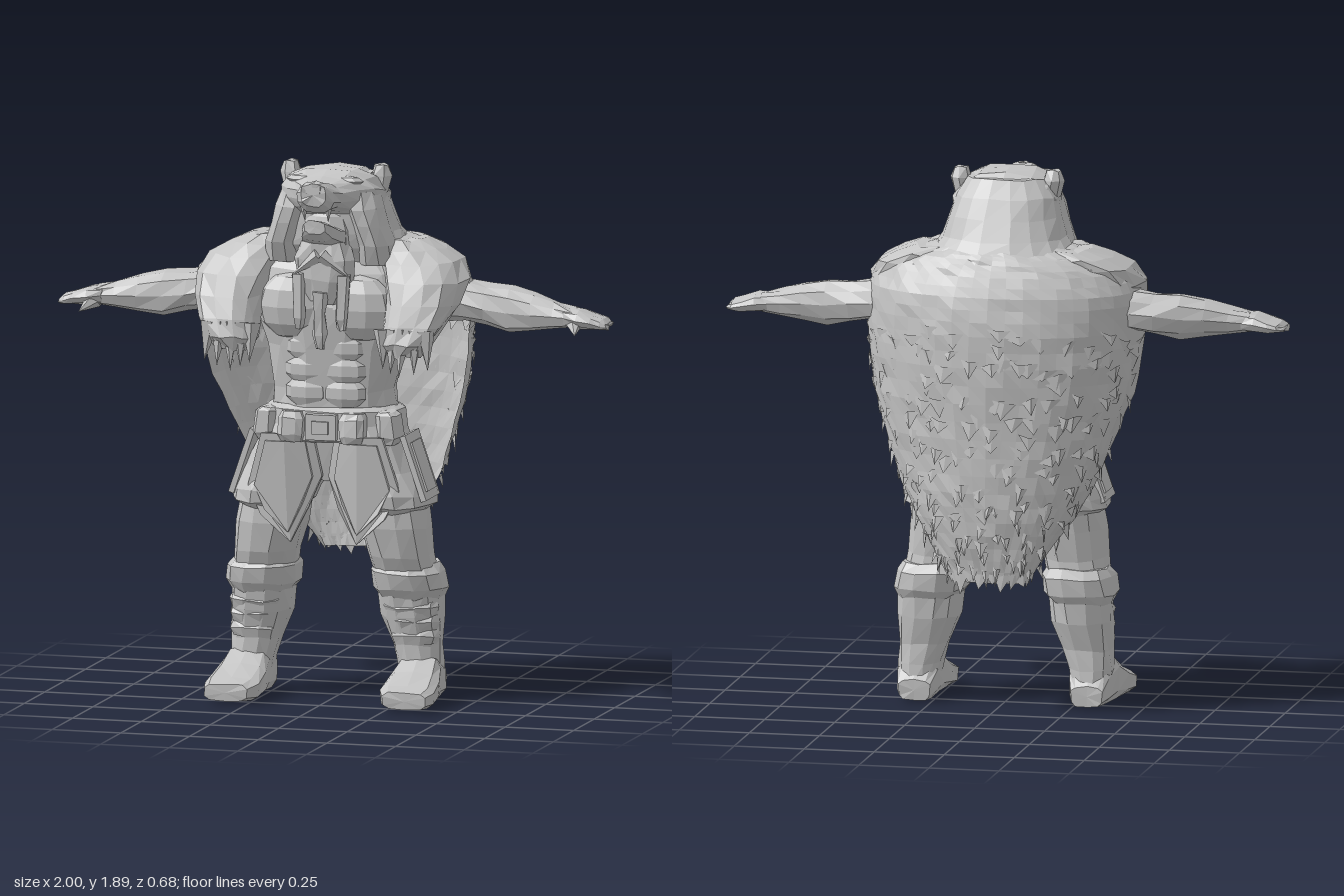
import * as THREE from 'three';

export function createModel() {
  const model = new THREE.Group();
  const grey = new THREE.MeshStandardMaterial({ color: 0xc4c4c4, flatShading: true });
  grey.name = 'stone grey';
  const greySheet = new THREE.MeshStandardMaterial({ color: 0xc4c4c4, flatShading: true, side: THREE.DoubleSide });
  greySheet.name = 'stone grey sheet';

  let seed = 7;
  const rand = () => (seed = (seed * 16807) % 2147483647) / 2147483647;
  const wobble = (a) => (rand() - 0.5) * 2 * a;

  function add(name, geometry, material = grey) {
    const mesh = new THREE.Mesh(geometry, material);
    mesh.name = name;
    model.add(mesh);
  }
  // Mirrored copy across x with the corner order put right
  function mirrored(geometry) {
    const g = geometry.index ? geometry.toNonIndexed() : geometry.clone();
    const p = g.attributes.position;
    for (let i = 0; i < p.count; i += 3) {
      const t = [0, 2, 1].map((k) => [-p.getX(i + k), p.getY(i + k), p.getZ(i + k)]);
      t.forEach((v, k) => p.setXYZ(i + k, ...v));
    }
    g.computeVertexNormals();
    return g;
  }
  function addPair(name, geometry) {
    add(name + 'Left', geometry);
    add(name + 'Right', mirrored(geometry));
  }
  // Closed loft along an axis. Each ring is [position, min, max, min, max] over the two
  // other axes in x, y, z order; power below 1 makes the rings squarer.
  function loft(axis, rings, sides = 12, power = 0.85, rough = 0.005) {
    const pos = [], idx = [];
    const put = (w, a, b) => pos.push(...(axis === 'y' ? [a, w, b] : axis === 'x' ? [w, a, b] : [a, b, w]));
    const curve = (v) => Math.sign(v) * Math.abs(v) ** power;
    for (const [w, a0, a1, b0, b1] of rings) {
      for (let j = 0; j < sides; j++) {
        const t = ((j + 0.5) / sides) * Math.PI * 2;
        const c = curve(Math.cos(t)), s = curve(Math.sin(t));
        const [u, v] = axis === 'y' ? [s, c] : [c, s];
        put(w + wobble(rough), (a0 + a1) / 2 + (u * (a1 - a0)) / 2 + wobble(rough), (b0 + b1) / 2 + (v * (b1 - b0)) / 2 + wobble(rough));
      }
    }
    for (let i = 0; i < rings.length - 1; i++) {
      for (let j = 0; j < sides; j++) {
        const a = i * sides + j, b = i * sides + ((j + 1) % sides);
        idx.push(a, b, b + sides, a, b + sides, a + sides);
      }
    }
    [0, rings.length - 1].forEach((r, end) => {
      const [w, a0, a1, b0, b1] = rings[r], n = pos.length / 3;
      put(w, (a0 + a1) / 2, (b0 + b1) / 2);
      for (let j = 0; j < sides; j++) {
        const a = r * sides + j, b = r * sides + ((j + 1) % sides);
        idx.push(n, ...(end ? [a, b] : [b, a]));
      }
    });
    const g = new THREE.BufferGeometry();
    g.setAttribute('position', new THREE.Float32BufferAttribute(pos, 3));
    g.setIndex(idx);
    g.computeVertexNormals();
    return g;
  }
  const blob = (x, y, z, rx, ry, rz, w = 8, h = 6) => new THREE.SphereGeometry(1, w, h).scale(rx, ry, rz).translate(x, y, z);
  const box = (x, y, z, w, h, d, rz = 0) => new THREE.BoxGeometry(w, h, d).rotateZ(rz).translate(x, y, z);
  // Spike from a base point to a tip
  function spike(from, to, r) {
    const a = new THREE.Vector3(...from), b = new THREE.Vector3(...to), d = b.clone().sub(a);
    const q = new THREE.Quaternion().setFromUnitVectors(new THREE.Vector3(0, 1, 0), d.clone().normalize());
    return new THREE.ConeGeometry(r, d.length(), 5).applyQuaternion(q).translate(...a.add(b).multiplyScalar(0.5).toArray());
  }
  // Cloth plate bent round the front of the thigh
  function drapedPlate(points, depth) {
    const shape = new THREE.Shape(points.map((p) => new THREE.Vector2(...p)));
    const g = new THREE.ExtrudeGeometry(shape, { depth, bevelEnabled: false }), p = g.attributes.position;
    for (let i = 0; i < p.count; i++) {
      const x = p.getX(i) - 0.16, y = p.getY(i);
      p.setZ(i, p.getZ(i) + 0.218 - 2.5 * x * x - Math.max(0, 0.7 - y) * 0.2);
    }
    g.computeVertexNormals();
    return g;
  }

  // Bare torso with chest and stomach muscles
  add('torso', loft('y', [[0.78, -0.15, 0.15, -0.08, 0.15], [1.0, -0.23, 0.23, -0.1, 0.19], [1.1, -0.215, 0.215, -0.1, 0.19],
    [1.25, -0.25, 0.25, -0.13, 0.2], [1.4, -0.31, 0.31, -0.15, 0.21], [1.52, -0.3, 0.3, -0.15, 0.18], [1.62, -0.15, 0.15, -0.12, 0.12]], 14));
  addPair('chestMuscle', blob(0.12, 1.395, 0.16, 0.135, 0.12, 0.07, 10, 6));
  for (let i = 0; i < 3; i++) addPair('stomachMuscle' + i, blob(0.065, 1.255 - i * 0.08, 0.168, 0.085, 0.06, 0.034, 8, 5));

  // Arms and open hands
  addPair('arm', loft('x', [[0.28, 1.33, 1.52, -0.12, 0.09], [0.46, 1.345, 1.485, -0.1, 0.08], [0.54, 1.33, 1.475, -0.09, 0.08],
    [0.63, 1.31, 1.475, -0.075, 0.09], [0.72, 1.322, 1.455, -0.055, 0.095], [0.8, 1.335, 1.43, -0.038, 0.092], [0.87, 1.345, 1.415, -0.025, 0.1]], 10));
  addPair('hand', loft('x', [[0.84, 1.35, 1.415, -0.025, 0.1], [0.89, 1.345, 1.41, -0.035, 0.118], [0.94, 1.345, 1.395, -0.042, 0.118], [0.975, 1.346, 1.383, -0.035, 0.112], [0.995, 1.348, 1.37, 0, 0.1]], 10, 0.75, 0.004));
  addPair('thumb', spike([0.87, 1.37, 0.06], [0.903, 1.335, 0.165], 0.035));

  // Legs, breeches and boots
  addPair('thigh', loft('y', [[0.42, 0.15, 0.37, -0.08, 0.14], [0.52, 0.13, 0.355, -0.07, 0.18], [0.62, 0.1, 0.345, -0.08, 0.2], [0.74, 0.08, 0.33, -0.09, 0.2]]));
  addPair('breeches', loft('y', [[0.68, 0.1, 0.33, -0.09, 0.2], [0.7, 0.08, 0.36, -0.1, 0.22], [0.74, 0.06, 0.36, -0.105, 0.225],
    [0.82, 0.005, 0.315, -0.11, 0.21], [0.92, -0.01, 0.27, -0.105, 0.2], [1.0, -0.02, 0.235, -0.1, 0.19]]));
  addPair('bootShaft', loft('y', [[0.04, 0.24, 0.375, -0.075, 0.1], [0.13, 0.225, 0.38, -0.07, 0.11], [0.2, 0.205, 0.38, -0.065, 0.105],
    [0.3, 0.165, 0.385, -0.085, 0.125], [0.4, 0.15, 0.38, -0.09, 0.14]]));
  addPair('bootFoot', loft('z', [[-0.08, 0.25, 0.365, 0.005, 0.08], [-0.03, 0.235, 0.38, 0, 0.14], [0.08, 0.23, 0.395, 0, 0.165],
    [0.16, 0.22, 0.41, 0, 0.12], [0.25, 0.22, 0.42, 0, 0.085], [0.31, 0.245, 0.405, 0.005, 0.07]], 10, 0.6, 0.003));
  addPair('bootCuff', loft('y', [[0.36, 0.17, 0.375, -0.085, 0.13], [0.4, 0.14, 0.4, -0.105, 0.16], [0.46, 0.13, 0.39, -0.11, 0.175], [0.49, 0.15, 0.365, -0.08, 0.15]]));
  for (let i = 0; i < 3; i++) {
    const y = 0.205 + i * 0.05, s = i * 0.014;
    addPair('shinFold' + i, loft('y', [[y, 0.215 - s, 0.375, 0, 0.104 + s / 2], [y + 0.03, 0.205 - s, 0.382, -0.01, 0.12 + s / 2], [y + 0.05, 0.205 - s, 0.375, 0, 0.108 + s / 2]], 10, 0.85, 0.004));
  }

  // Pointed front panels with a raised face, and side panels
  const panel = [[0.04, 0.95], [0.13, 0.95], [0.22, 0.95], [0.275, 0.76], [0.225, 0.66], [0.12, 0.565], [0.055, 0.69], [0.012, 0.8]];
  const inner = panel.map(([x, y]) => [0.142 + (x - 0.142) * 0.78, 0.79 + (y - 0.79) * 0.84]);
  addPair('frontPanelBorder', drapedPlate(panel, 0.018));
  addPair('frontPanelFace', drapedPlate(inner, 0.024));
  addPair('sidePanelBorder', box(0.312, 0.835, 0.07, 0.02, 0.24, 0.17, 0.33));
  addPair('sidePanelFace', box(0.317, 0.835, 0.07, 0.024, 0.18, 0.11, 0.33));

  // Belt, buckle and pouches
  add('belt', loft('y', [[0.92, -0.24, 0.24, -0.11, 0.2], [0.93, -0.255, 0.255, -0.12, 0.215], [1.03, -0.245, 0.245, -0.115, 0.21], [1.045, -0.22, 0.22, -0.1, 0.19]], 16, 0.8, 0.003));
  add('buckle', box(0, 0.98, 0.22, 0.11, 0.09, 0.04));
  add('buckleCentre', box(0, 0.98, 0.24, 0.06, 0.045, 0.02));
  addPair('frontPouch', loft('y', [[0.925, 0.075, 0.15, 0.18, 0.245], [0.95, 0.065, 0.16, 0.17, 0.258], [1.01, 0.065, 0.16, 0.17, 0.25], [1.03, 0.075, 0.15, 0.18, 0.235]], 8, 0.6, 0.004));
  addPair('sidePouch', loft('y', [[0.92, 0.2, 0.25, 0.1, 0.18], [0.945, 0.19, 0.27, 0.09, 0.195], [1.02, 0.18, 0.26, 0.09, 0.195], [1.035, 0.19, 0.24, 0.1, 0.18]], 8, 0.6, 0.004));

  // Fur over the shoulder tops, with clawed forelegs hanging on the chest
  add('shoulderFur', loft('y', [[1.5, -0.43, 0.43, -0.22, 0.12], [1.57, -0.4, 0.4, -0.215, 0.13],
    [1.61, -0.33, 0.33, -0.195, 0.13], [1.635, -0.24, 0.24, -0.17, 0.12]], 22, 0.95, 0.004));
  addPair('furForeleg', loft('y', [[1.25, 0.26, 0.37, 0.23, 0.3], [1.295, 0.225, 0.41, 0.19, 0.325], [1.36, 0.225, 0.445, 0.13, 0.308],
    [1.43, 0.215, 0.478, 0.0, 0.28], [1.5, 0.19, 0.49, -0.12, 0.24], [1.56, 0.17, 0.45, -0.15, 0.19], [1.6, 0.15, 0.385, -0.15, 0.145], [1.628, 0.15, 0.31, -0.13, 0.1]], 14, 0.9, 0.006));
  for (let i = 0; i < 5; i++) {
    const x = 0.24 + i * 0.038, e = Math.abs(i - 2);
    addPair('claw' + i, spike([x, 1.345, 0.275], [x + (i - 2) * 0.004 + wobble(0.012), 1.18 + e * 0.014, 0.312 - e * 0.01], 0.036));
  }

  // Neck fur and the animal head worn as a hood
  add('neckFur', loft('y', [[1.52, -0.35, 0.35, -0.25, 0.13], [1.57, -0.3, 0.3, -0.235, 0.155], [1.61, -0.255, 0.255, -0.205, 0.18],
    [1.66, -0.222, 0.222, -0.17, 0.19], [1.73, -0.2, 0.2, -0.135, 0.192], [1.8, -0.182, 0.182, -0.1, 0.18], [1.86, -0.14, 0.14, -0.05, 0.14]], 18, 0.85, 0.004));
  addPair('hoodSide', loft('y', [[1.55, 0.1, 0.24, -0.02, 0.17], [1.62, 0.1, 0.235, -0.02, 0.2], [1.69, 0.085, 0.21, 0, 0.212],
    [1.75, 0.06, 0.192, 0, 0.212], [1.81, 0.04, 0.175, 0, 0.195]], 10, 0.9, 0.003));
  add('hoodHead', loft('z', [[-0.11, -0.1, 0.1, 1.6, 1.76], [-0.06, -0.16, 0.16, 1.6, 1.835], [0, -0.19, 0.19, 1.62, 1.88], [0.08, -0.19, 0.19, 1.66, 1.888],
    [0.15, -0.172, 0.172, 1.7, 1.885], [0.2, -0.13, 0.13, 1.735, 1.865], [0.25, -0.082, 0.082, 1.745, 1.855], [0.3, -0.066, 0.066, 1.75, 1.86], [0.33, -0.045, 0.045, 1.775, 1.858]], 14, 0.85, 0.004));
  add('hoodNose', loft('z', [[0.29, -0.035, 0.035, 1.82, 1.862], [0.333, -0.03, 0.03, 1.815, 1.858]], 6, 0.8, 0.002));
  addPair('brow', blob(0.085, 1.848, 0.18, 0.055, 0.018, 0.025, 6, 4));
  addPair('ear', loft('y', [[1.79, 0.12, 0.19, 0, 0.075], [1.85, 0.125, 0.203, 0, 0.072], [1.888, 0.14, 0.192, 0.02, 0.058]], 7, 0.85, 0.004));
  addPair('fang', spike([0.045, 1.77, 0.285], [0.042, 1.715, 0.285], 0.014));
  add('lowerJaw', loft('z', [[0.14, -0.1, 0.1, 1.6, 1.68], [0.22, -0.075, 0.075, 1.62, 1.69], [0.28, -0.058, 0.058, 1.645, 1.715], [0.31, -0.04, 0.04, 1.675, 1.725]], 8, 0.7, 0.003));

  // Face in the open mouth, with moustache and braided beard
  add('face', blob(0, 1.64, 0.14, 0.1, 0.13, 0.09, 10, 7));
  add('beard', loft('y', [[1.42, -0.06, 0.06, 0.15, 0.235], [1.5, -0.1, 0.1, 0.13, 0.25], [1.57, -0.11, 0.11, 0.12, 0.25], [1.63, -0.08, 0.08, 0.1, 0.235]], 10, 0.85, 0.008));
  addPair('moustache', spike([0.005, 1.59, 0.24], [0.11, 1.51, 0.232], 0.026));
  addPair('sideBraid', loft('y', [[1.33, 0.065, 0.09, 0.225, 0.25], [1.37, 0.055, 0.1, 0.21, 0.26], [1.52, 0.06, 0.11, 0.2, 0.255]], 6));
  add('middleBraid', loft('y', [[1.26, -0.012, 0.012, 0.225, 0.25], [1.31, -0.028, 0.028, 0.215, 0.262], [1.38, -0.02, 0.02, 0.215, 0.26], [1.46, -0.035, 0.035, 0.19, 0.265]], 6));

  // Cape rows: height, half width, z of the front edge, z of the back
  const rows = [[1.63, 0.26, 0.03, -0.19], [1.6, 0.365, 0.03, -0.218], [1.56, 0.435, 0.03, -0.243], [1.48, 0.482, 0.03, -0.285], [1.38, 0.49, 0.05, -0.308],
    [1.25, 0.485, 0.05, -0.317], [1.1, 0.455, 0.01, -0.318], [0.95, 0.4, -0.045, -0.32], [0.8, 0.34, -0.1, -0.325], [0.68, 0.275, -0.16, -0.325],
    [0.57, 0.2, -0.215, -0.312], [0.475, 0.135, -0.255, -0.295]];
  function capePoint(s, t, lift = 0) {
    const f = Math.min(Math.max(s, 0), 0.9999) * (rows.length - 1), i = Math.floor(f), k = f - i;
    const [y, w, ze, zb] = rows[i].map((v, n) => v + (rows[i + 1][n] - v) * k);
    const a = (t * Math.PI) / 2, c = Math.max(Math.cos(a), 0) ** 0.85;
    return new THREE.Vector3(Math.sin(a) * (w + lift), y, ze + (zb - ze) * c - lift * c);
  }
  const across = 24, down = 26, capePos = [], capeIdx = [];
  for (let i = 0; i <= down; i++) {
    for (let j = 0; j <= across; j++) capePos.push(...capePoint(i / down, (j / across) * 2 - 1, wobble(0.005)).toArray());
  }
  for (let i = 0; i < down; i++) {
    for (let j = 0; j < across; j++) {
      const a = i * (across + 1) + j, b = a + across + 1;
      capeIdx.push(a, a + 1, b, a + 1, b + 1, b);
    }
  }
  const cape = new THREE.BufferGeometry();
  cape.setAttribute('position', new THREE.Float32BufferAttribute(capePos, 3));
  cape.setIndex(capeIdx);
  cape.computeVertexNormals();
  add('furCape', cape, greySheet);

  // Ragged tufts over the cape, longer along the hem
  const tufts = [];
  function tuft(s, t, half, length, lift) {
    const l = capePoint(s, t - half), r = capePoint(s + wobble(0.02), t + half), m = capePoint(s, t, lift * 0.6);
    const tip = capePoint(s, t, lift);
    tip.y -= length;
    tip.x += wobble(0.015) - tip.x * length * 0.8;
    for (const p of [l, m, tip, m, r, tip]) tufts.push(p.x, p.y, p.z);
  }
  for (let i = 0; i < 15; i++) {
    const count = 15 - Math.floor(i / 3);
    for (let j = 0; j < count; j++) {
      const t = ((j + 0.5 + wobble(0.45)) / count) * 2 - 1;
      tuft(0.39 + i * 0.039 + wobble(0.025), t * 0.95, 0.035 + rand() * 0.035, 0.03 + rand() * 0.035, 0.008 + rand() * 0.01);
    }
  }
  for (let j = 0; j < 12; j++) tuft(0.97, ((j + 0.5) / 12) * 2 - 1, 0.13, 0.03 + rand() * 0.045, 0.004);
  const fur = new THREE.BufferGeometry();
  fur.setAttribute('position', new THREE.Float32BufferAttribute(tufts, 3));
  fur.computeVertexNormals();
  add('furTufts', fur, greySheet);

  return model;
}
